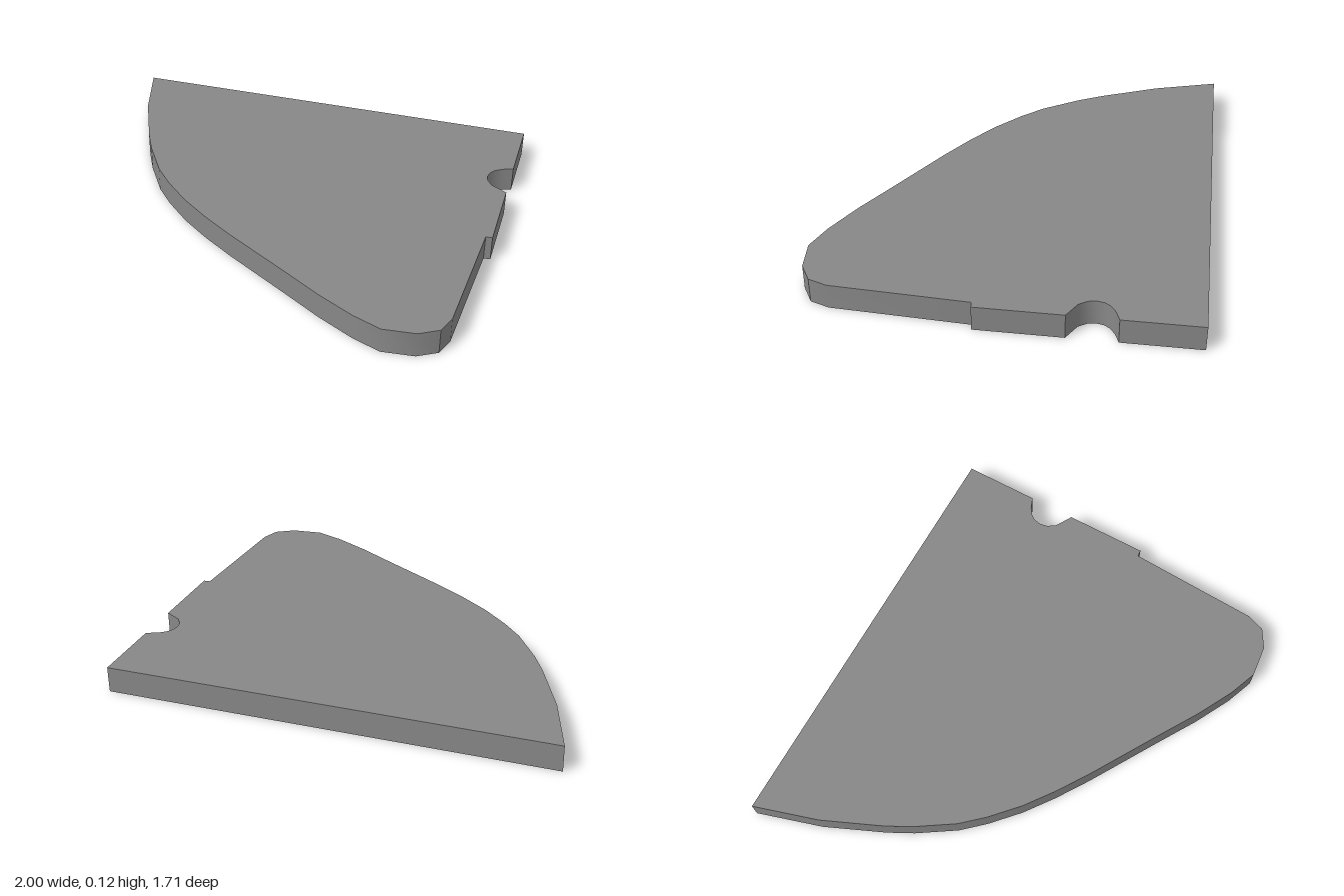
import * as THREE from 'three';
import { toCreasedNormals } from 'three/addons/utils/BufferGeometryUtils.js';

const THICKNESS = 0.117;

// Plan outline as [x, z]
const curvedEdge = [
  [-1, -0.855], [-0.908, -0.555], [-0.79, -0.285], [-0.73, -0.17], [-0.62, 0],
  [-0.53, 0.1], [-0.405, 0.215], [-0.27, 0.315], [-0.12, 0.413], [0.2, 0.605],
  [0.38, 0.715], [0.55, 0.805],
];
const roundedTip = [[0.68, 0.855], [0.825, 0.84], [0.91, 0.79], [0.94, 0.705]];
const sideStep = [[0.97, 0.095], [1, 0.093]];
const notch = [
  [1, -0.29], [0.925, -0.333], [0.9, -0.37], [0.893, -0.405], [0.9, -0.44],
  [0.918, -0.465], [0.95, -0.488], [1, -0.507],
];
const backCorner = [[1, -0.855]];

export function createModel() {
  const group = new THREE.Group();
  group.name = 'notchedPlate';

  const outline = [...curvedEdge, ...roundedTip, ...sideStep, ...notch, ...backCorner];
  const shape = new THREE.Shape(outline.map(([x, z]) => new THREE.Vector2(x, z)));

  // Extrude the plan, then lay it flat on the ground
  const geometry = new THREE.ExtrudeGeometry(shape, { depth: THICKNESS, bevelEnabled: false });
  geometry.rotateX(Math.PI / 2);
  geometry.translate(0, THICKNESS, 0);

  const plate = new THREE.Mesh(
    toCreasedNormals(geometry, 0.6),
    new THREE.MeshStandardMaterial({ color: 0x878787 }),
  );
  plate.name = 'plate';
  group.add(plate);
  return group;
}
